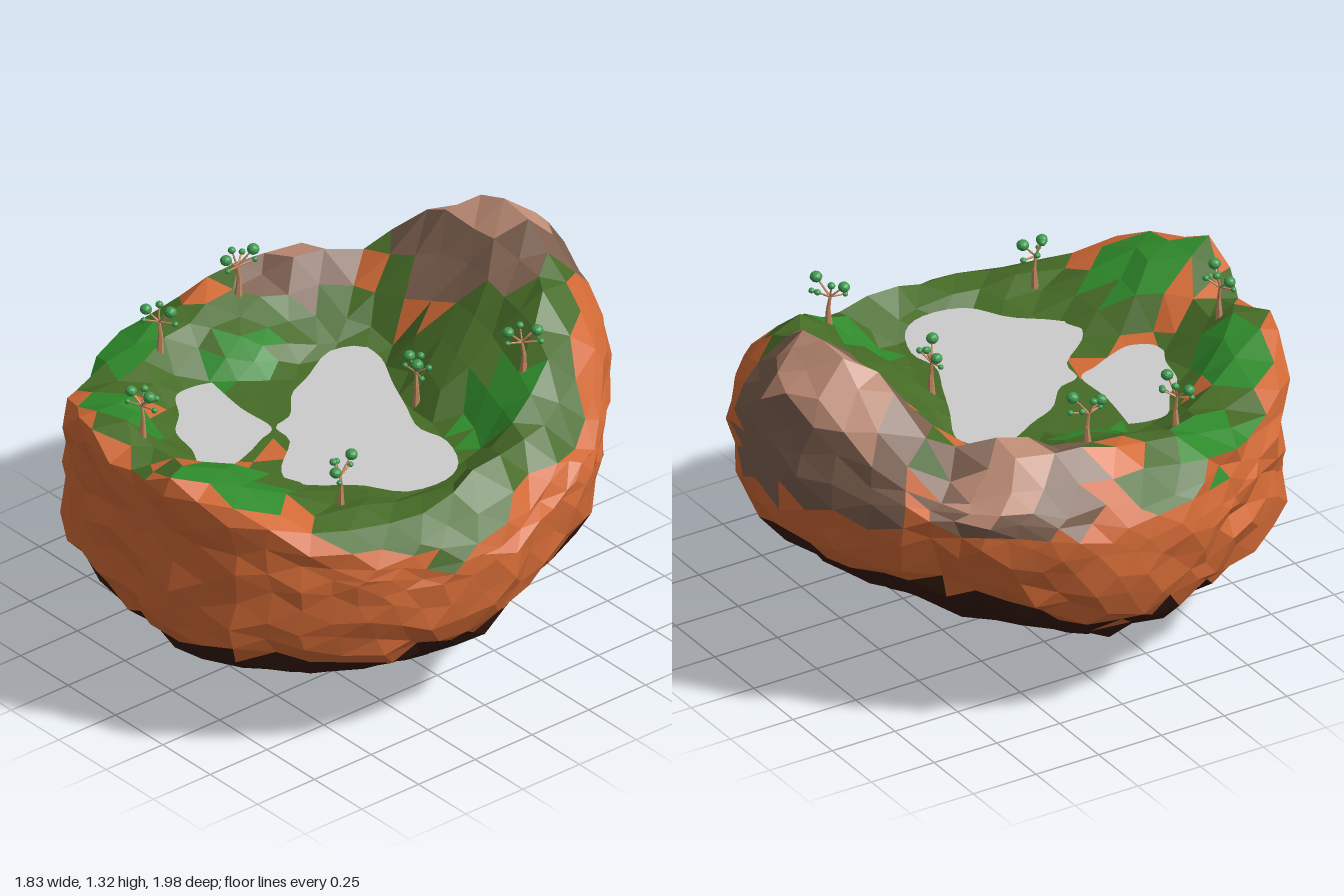
import * as THREE from 'three';
import { mergeGeometries } from 'three/addons/utils/BufferGeometryUtils.js';

// Every 15 degrees from +x towards +z: outline radius, rim height, where the basin ends
const OUTLINE = [0.91, 0.94, 0.95, 0.97, 1.01, 1.02, 0.93, 0.95, 0.96, 0.93, 0.89, 0.9,
  0.92, 0.92, 0.92, 0.88, 0.94, 0.99, 1.0, 0.98, 0.92, 0.89, 0.92, 0.87];
const RIM = [0.93, 0.92, 0.91, 0.93, 1.01, 1.08, 0.96, 1.04, 0.97, 0.93, 0.95, 1.0,
  1.02, 1.05, 1.09, 1.05, 1.2, 1.33, 1.33, 1.24, 1.2, 1.09, 1.0, 0.95];
const BASIN = [0.66, 0.66, 0.56, 0.53, 0.46, 0.5, 0.64, 0.62, 0.6, 0.6, 0.55, 0.38,
  0.3, 0.35, 0.4, 0.45, 0.42, 0.36, 0.26, 0.2, 0.18, 0.28, 0.5, 0.64];
// Side and underside: polar angle / PI, fraction of the outline, height
const SIDE = [[0.36, 0.92, 1], [0.5, 1, 0.68], [0.6, 0.95, 0.46],
  [0.68, 0.86, 0.34], [0.8, 0.6, 0.18], [0.9, 0.3, 0.08], [1, 0, 0]];
const FLOOR = 0.835, WATER = 0.858;

const lerp = THREE.MathUtils.lerp, clamp = THREE.MathUtils.clamp, smooth = THREE.MathUtils.smoothstep;

function around(table, angle) {
  const k = ((angle / (Math.PI * 2) + 1) % 1) * table.length;
  const i = Math.floor(k) % table.length;
  return lerp(table[i], table[(i + 1) % table.length], k - Math.floor(k));
}

// Repeatable value in -1..1 for a point
function hash(x, y, z, seed) {
  const s = Math.sin(Math.round(x * 1000) * 12.9898 + Math.round(y * 1000) * 78.233
    + Math.round(z * 1000) * 37.719 + seed * 91.7) * 43758.5453;
  return (s - Math.floor(s)) * 2 - 1;
}

// Basin floor rising to a crest, then rolling over except at the front
function topHeight(angle, f) {
  const front = Math.max(0, Math.sin(angle)), start = around(BASIN, angle);
  const rise = clamp((f - start) / (lerp(0.76, 0.86, front) - start), 0, 1);
  const drop = Math.max(0, f - 0.77) * 0.85 * (1 - front);
  return FLOOR + (around(RIM, angle) - FLOOR) * rise - drop;
}

function groundAt(x, z) {
  const angle = Math.atan2(z, x);
  return topHeight(angle, Math.hypot(x, z) / around(OUTLINE, angle));
}

// Turns a direction on the unit sphere into a point on the island
function islandPoint(d) {
  const angle = Math.atan2(d.z, d.x);
  const t = Math.acos(clamp(d.y, -1, 1)) / Math.PI;
  const front = Math.max(0, Math.sin(angle)), back = Math.max(0, -Math.sin(angle));
  const rimF = lerp(0.92, 1.01, front);
  const lift = (s) => s[2] + 0.2 * back * smooth(s[1], 0.2, 0.75);
  let f, y, shift = 0, rough = 0.014;
  if (t <= 0.36) {
    f = t / 0.36 * rimF;
    y = topHeight(angle, f);
    if (f < around(BASIN, angle)) rough = 0.004;
  } else if (t <= 0.5) {
    const k = (t - 0.36) / 0.14;
    f = lerp(rimF, 1 - 0.02 * front, Math.sin(k * Math.PI / 2));
    y = lerp(topHeight(angle, rimF), lift(SIDE[1]), k);
    rough = 0.022;
  } else {
    let i = 1;
    while (i < SIDE.length - 2 && t > SIDE[i + 1][0]) i++;
    const [a, b] = [SIDE[i], SIDE[i + 1]], k = (t - a[0]) / (b[0] - a[0]);
    const width = (s) => Math.min(1 - 0.02 * front, s[1] + (s[1] > 0.8 ? 0.04 * front : 0));
    f = lerp(width(a), width(b), k);
    y = lerp(lift(a), lift(b), k);
    if (t > 0.6) shift = 0.1 * (1 - f);
    rough = t > 0.97 ? 0 : 0.022;
  }
  const r = f * around(OUTLINE, angle);
  return new THREE.Vector3(
    r * Math.cos(angle) + hash(d.x, d.y, d.z, 1) * 0.018,
    Math.max(0, y + hash(d.x, d.y, d.z, 2) * rough),
    r * Math.sin(angle) + shift + hash(d.x, d.y, d.z, 3) * 0.018);
}

const COLORS = {
  grass: 0x466b26, brightGrass: 0x2f8a2b, soil: 0xd26a36, darkSoil: 0x351a0e,
  stoneBase: 0x2e251e, rock: 0x7d604f, rockTop: 0xbe8c75,
};
// Ground patches: x, z, x radius, z radius
const MEADOWS = [[0.35, 0.77, 0.2, 0.2], [-0.3, 0.7, 0.19, 0.13], [-0.7, 0.4, 0.15, 0.18],
  [0.43, -0.31, 0.12, 0.14], [-0.42, 0.1, 0.09, 0.14]];
const BARE = [[0.06, 0.55, 0.06, 0.1], [0.07, 0.75, 0.06, 0.14], [-0.72, 0.02, 0.1, 0.06],
  [-0.8, -0.1, 0.1, 0.08], [-0.12, -0.47, 0.12, 0.05], [-0.37, -0.45, 0.06, 0.05],
  [0.03, 0.33, 0.05, 0.06], [-0.36, 0.56, 0.06, 0.06], [0.55, 0.62, 0.07, 0.04]];
const ROCKS = [[-0.15, -0.8, 0.37, 0.32], [-0.67, -0.4, 0.25, 0.3]];
const ROCK_TOPS = [[-0.17, -0.81, 0.25, 0.17], [-0.68, -0.42, 0.13, 0.18]];

const within = (patches, p) => patches.some(([x, z, a, b]) => ((p.x - x) / a) ** 2 + ((p.z - z) / b) ** 2 < 1);

// Which material a face of the island gets
function faceKind(c, n) {
  const angle = Math.atan2(c.z, c.x), f = Math.hypot(c.x, c.z) / around(OUTLINE, angle);
  const noise = hash(c.x, c.y, c.z, 4), back = Math.max(0, -Math.sin(angle));
  const darkPatch = 0.15 * Math.exp(-(((angle + 0.75) / 0.3) ** 2)) + 0.03 * Math.sin(angle * 7);
  if (c.y < 0.15 + noise * 0.02) return 'stoneBase';
  if (c.y < 0.38 + 0.22 * back + darkPatch + noise * 0.03) return 'darkSoil';
  if (c.y > 0.82 && within(ROCKS, c)) return within(ROCK_TOPS, c) && n.y > 0.4 ? 'rockTop' : 'rock';
  const edge = 0.955 + 0.03 * Math.sin(angle * 5) + 0.015 * noise - 0.12 * back;
  if (n.y < 0.28 || f > edge || c.y < 0.7 || within(BARE, c)) return 'soil';
  return within(MEADOWS, c) ? 'brightGrass' : 'grass';
}

function flat(color, side = THREE.FrontSide) {
  return new THREE.MeshStandardMaterial({ color, flatShading: true, side });
}

function makeMesh(name, geometry, material) {
  const mesh = new THREE.Mesh(geometry, material);
  mesh.name = name;
  return mesh;
}

// Island body, split into one mesh per ground type
function makeIsland() {
  const group = new THREE.Group();
  group.name = 'island';
  const ball = new THREE.IcosahedronGeometry(1, 8).getAttribute('position');
  const faces = Object.fromEntries(Object.keys(COLORS).map((k) => [k, []]));
  const tri = new THREE.Triangle(), c = new THREE.Vector3(), n = new THREE.Vector3();
  const corner = (i) => islandPoint(new THREE.Vector3().fromBufferAttribute(ball, i).normalize());
  for (let i = 0; i < ball.count; i += 3) {
    tri.set(corner(i), corner(i + 1), corner(i + 2));
    tri.getMidpoint(c);
    tri.getNormal(n);
    faces[faceKind(c, n)].push(tri.a.clone(), tri.b.clone(), tri.c.clone());
  }
  for (const [kind, points] of Object.entries(faces)) {
    const geometry = new THREE.BufferGeometry().setFromPoints(points);
    geometry.computeVertexNormals();
    group.add(makeMesh(kind, geometry, flat(COLORS[kind])));
  }
  return group;
}

// Flat water sheet from a shoreline of [x, z] points
function makeLake(name, shore) {
  const curve = new THREE.SplineCurve([...shore, shore[0]].map(([x, z]) => new THREE.Vector2(x, -z)));
  const geometry = new THREE.ShapeGeometry(new THREE.Shape(curve.getPoints(60)));
  geometry.rotateX(-Math.PI / 2);
  geometry.translate(0, WATER, 0);
  return makeMesh(name, geometry, flat(0xcccccc, THREE.DoubleSide));
}

// Tapered limb between two points
function limb(a, b, r0, r1) {
  const from = new THREE.Vector3(...a), dir = new THREE.Vector3(...b).sub(from);
  const geometry = new THREE.CylinderGeometry(r1, r0, dir.length(), 6);
  geometry.translate(0, dir.length() / 2, 0);
  geometry.applyQuaternion(new THREE.Quaternion().setFromUnitVectors(
    new THREE.Vector3(0, 1, 0), dir.normalize()));
  return geometry.translate(...a);
}

// Forked tree with small round leaf clusters at the branch ends
function makeTree(x, z, turn) {
  const tree = new THREE.Group();
  tree.name = 'tree';
  const fork = [-0.004, 0.11, 0];
  const tips = [[-0.05, 0.15, 0.01, 0.021], [0.05, 0.172, 0.012, 0.022], [0.03, 0.14, -0.035, 0.012],
    [-0.015, 0.165, -0.02, 0.014], [0.062, 0.122, 0, 0.011], [-0.05, 0.115, 0.025, 0.01]];
  const wood = [limb([0, -0.02, 0], [0.003, 0.06, 0], 0.015, 0.008), limb([0.003, 0.06, 0], fork, 0.008, 0.005)];
  const leaves = [];
  for (const [px, py, pz, r] of tips) {
    wood.push(limb(fork, [px, py, pz], 0.004, 0.003));
    leaves.push(new THREE.IcosahedronGeometry(r, 1).scale(1, 0.9, 1).translate(px, py, pz));
  }
  tree.add(makeMesh('trunk', mergeGeometries(wood), flat(0xc48a60)));
  tree.add(makeMesh('leaves', mergeGeometries(leaves), flat(0x3f9a50)));
  tree.position.set(x, groundAt(x, z), z);
  tree.rotation.y = turn;
  return tree;
}

export function createModel() {
  const model = new THREE.Group();
  model.name = 'floatingIsland';
  model.add(makeIsland());
  model.add(makeLake('largeLake', [[-0.25, -0.3], [-0.14, -0.29], [0, -0.22], [0.14, -0.16], [0.28, -0.1],
    [0.4, -0.12], [0.54, -0.06], [0.6, 0.05], [0.57, 0.2], [0.44, 0.29], [0.35, 0.4], [0.27, 0.46],
    [0.18, 0.42], [0.07, 0.29], [-0.03, 0.27], [-0.06, 0.18], [-0.16, 0.09], [-0.21, -0.02], [-0.29, -0.18]]));
  model.add(makeLake('smallLake', [[-0.39, 0.25], [-0.2, 0.28], [-0.04, 0.28], [0, 0.36], [0.04, 0.45],
    [0.06, 0.54], [0, 0.62], [-0.1, 0.58], [-0.22, 0.55], [-0.3, 0.47], [-0.4, 0.4], [-0.41, 0.32]]));
  // Trees: x, z, turn
  const trees = [[-0.61, -0.05, 1.3], [-0.58, 0.32, 0.3], [-0.12, 0.78, 0], [0.45, -0.42, 0.7],
    [0.53, 0.45, 1.9], [0.15, -0.2, -0.4]];
  for (const tree of trees) model.add(makeTree(...tree));
  return model;
}
